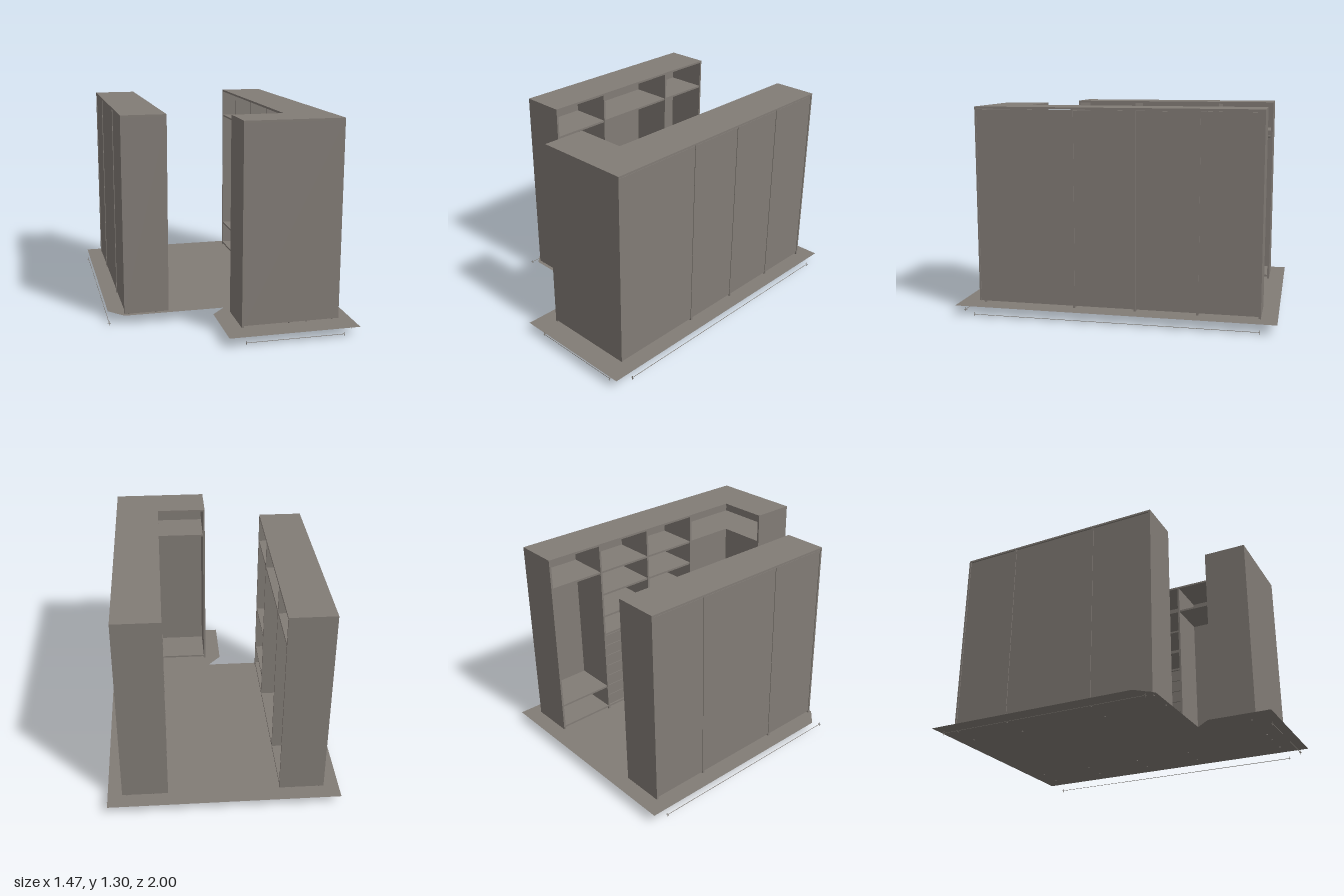
import * as THREE from 'three';

const T = 0.013;            // board thickness
const Y0 = 0.066, Y1 = 1.305; // cabinet bottom and top
const FLOOR = 0.062;

export function createModel() {
  const root = new THREE.Group();
  root.name = 'walkInWardrobe';
  const board = new THREE.MeshStandardMaterial({ color: 0x827c76, side: THREE.DoubleSide });
  board.name = 'taupe board';

  const group = (name) => {
    const g = new THREE.Group();
    g.name = name;
    root.add(g);
    return g;
  };
  // Box given by its limits on each axis
  const box = (parent, name, x0, x1, y0, y1, z0, z1) => {
    const m = new THREE.Mesh(new THREE.BoxGeometry(x1 - x0, y1 - y0, z1 - z0), board);
    m.position.set((x0 + x1) / 2, (y0 + y1) / 2, (z0 + z1) / 2);
    m.name = name;
    parent.add(m);
    return m;
  };
  // Horizontal slab from an outline of [x, z] points
  const slab = (parent, name, pts, y, h) => {
    const shape = new THREE.Shape(pts.map(([x, z]) => new THREE.Vector2(x, -z)));
    const geo = h ? new THREE.ExtrudeGeometry(shape, { depth: h, bevelEnabled: false })
      : new THREE.ShapeGeometry(shape);
    const m = new THREE.Mesh(geo.rotateX(-Math.PI / 2), board);
    m.position.y = y;
    m.name = name;
    parent.add(m);
  };
  // Clothes rail along x or z
  const rail = (parent, axis, x, y, z, len) => {
    const m = new THREE.Mesh(new THREE.CylinderGeometry(0.007, 0.007, len, 10), board);
    if (axis === 'z') m.rotation.x = Math.PI / 2;
    else m.rotation.z = Math.PI / 2;
    m.position.set(x, y, z);
    m.name = 'clothesRail';
    parent.add(m);
  };
  const foot = (parent, x, z) => {
    const m = new THREE.Mesh(new THREE.CylinderGeometry(0.006, 0.006, 0.012, 8), board);
    m.position.set(x, 0.064, z);
    m.name = 'foot';
    parent.add(m);
  };

  // Floor sheet with its notched entrance
  slab(root, 'floor', [[-0.725, -1], [0.72, -1], [0.72, 1], [-0.09, 1], [-0.09, 0.6],
    [0, 0.5], [-0.63, 0.5], [-0.725, 0.4]], FLOOR, 0);

  // Straight wardrobe on the right of the room, open toward +x
  const a = group('straightWardrobe');
  const ax0 = -0.63, ax1 = -0.35, aEdges = [-0.9, -0.52, 0.07, 0.48];
  box(a, 'topPanel', ax0, ax1, Y1 - T, Y1, -0.9, 0.48);
  box(a, 'bottomPanel', ax0 + 0.004, ax1 - 0.002, 0.078, 0.078 + T, -0.9 + T, 0.48 - T);
  aEdges.forEach((z, i) => {
    const z0 = i === 0 ? z : i === 3 ? z - T : z - T / 2;
    box(a, 'uprightPanel', ax0, ax1, Y0, Y1 - T, z0, z0 + T);
    for (const x of [ax0 + 0.03, ax1 - 0.08]) foot(a, x, z0 + T / 2);
  });
  for (let i = 0; i < 3; i++) {
    const z0 = aEdges[i] + T / 2, z1 = aEdges[i + 1] - T / 2;
    box(a, 'backPanel', ax0 + 0.004, ax0 + 0.01, 0.078, Y1 - T - 0.004, z0, z1);
    box(a, 'topShelf', ax0 + 0.01, ax1 - 0.004, 1.1, 1.1 + T, z0, z1);
    rail(a, 'z', -0.49, 1.06, (z0 + z1) / 2, z1 - z0);
  }
  for (const y of [0.22, 0.55]) {
    box(a, 'lowShelf', ax0 + 0.01, ax1 - 0.004, y, y + T, 0.07 + T / 2, 0.48 - T);
  }

  // Corner wardrobe, open toward the middle of the room
  const b = group('cornerWardrobe');
  const bx0 = 0.345, bx1 = 0.63, bEdges = [-0.9, -0.52, -0.135, 0.25];
  slab(b, 'topPanel', [[bx0, -0.9], [bx1, -0.9], [bx1, 0.87], [0.02, 0.87], [0.02, 0.59],
    [bx0, 0.59]], Y1 - T, T);
  const corner = [[bx0 + 0.004, 0.25 + T / 2], [bx1 - 0.01, 0.25 + T / 2], [bx1 - 0.01, 0.86],
    [0.02 + T, 0.86], [0.02 + T, 0.594], [bx0 + 0.004, 0.594]];
  slab(b, 'cornerShelf', corner, 1.1, T);
  slab(b, 'cornerBottom', corner, 0.078, T);
  box(b, 'bottomPanel', bx0 + 0.002, bx1 - 0.004, 0.078, 0.078 + T, -0.9 + T, 0.25);
  bEdges.forEach((z, i) => {
    const z0 = i === 0 ? z : z - T / 2;
    box(b, 'uprightPanel', bx0, bx1, Y0, Y1 - T, z0, z0 + T);
    for (const x of [bx0 + 0.09, bx1 - 0.03]) foot(b, x, z0 + T / 2);
  });
  [...bEdges, 0.87].slice(1).forEach((z1, i) => {
    const last = i === 3;
    box(b, 'backPanel', bx1 - 0.01, bx1 - 0.004, 0.078, Y1 - T - 0.004,
      bEdges[i] + T / 2, last ? 0.86 : z1 - T / 2);
  });
  box(b, 'endPanel', 0.02, 0.02 + T, Y0, Y1 - T, 0.59, 0.87);
  box(b, 'frontPanel', 0.02 + T, bx1, 0.078, Y1 - T, 0.86, 0.87);
  rail(b, 'x', 0.31, 1.06, 0.73, 0.57);
  for (const x of [0.03, 0.325, 0.435, 0.6]) foot(b, x, 0.84);

  // Hanging bay
  box(b, 'topShelf', bx0 + 0.004, bx1 - 0.01, 1.1, 1.1 + T, -0.9 + T, -0.52 - T / 2);
  box(b, 'lowShelf', bx0 + 0.004, bx1 - 0.01, 0.24, 0.24 + T, -0.9 + T, -0.52 - T / 2);
  rail(b, 'z', 0.49, 1.06, -0.71, 0.37);

  // Two bays with shelves above a stack of drawers
  for (let i = 1; i < 3; i++) {
    const z0 = bEdges[i] + T / 2, z1 = bEdges[i + 1] - T / 2, zc = (z0 + z1) / 2;
    for (const y of [1.1, 0.94, 0.78, 0.645]) {
      box(b, 'shelf', bx0 + 0.004, bx1 - 0.01, y, y + T, z0, z1);
    }
    const rows = 7, low = 0.095, h = (0.642 - low) / rows;
    for (let r = 0; r < rows; r++) {
      const y = low + r * h;
      box(b, 'drawerFront', bx0 + 0.006, bx0 + 0.018, y + 0.002, y + h - 0.002, z0 + 0.002, z1 - 0.002);
      box(b, 'drawerHandle', bx0 - 0.002, bx0 + 0.006, y + h * 0.6, y + h * 0.6 + 0.006, zc - 0.04, zc + 0.04);
    }
  }

  // Measuring lines with end ticks beneath the floor edges
  const lines = group('measuringLines');
  const y = 0.013, w = 0.0012;
  for (const [x, z0, z1] of [[-0.726, -0.9, 0.48], [0.72, -0.9, 0.87]]) {
    box(lines, 'sideLine', x - w, x + w, y - w, y + w, z0, z1);
    for (const z of [z0, z1]) {
      box(lines, 'endTick', x - 0.01, x + 0.01, y - w, y + w, z - w, z + w);
      box(lines, 'endTick', x - w, x + w, 0, 0.026, z - w, z + w);
    }
  }
  box(lines, 'frontLine', 0.02, 0.63, y - w, y + w, 0.97 - w, 0.97 + w);
  for (const x of [0.02, 0.63]) {
    box(lines, 'endTick', x - w, x + w, 0, 0.026, 0.97 - w, 0.97 + w);
    box(lines, 'endTick', x - w, x + w, y - w, y + w, 0.96, 0.98);
  }
  return root;
}
